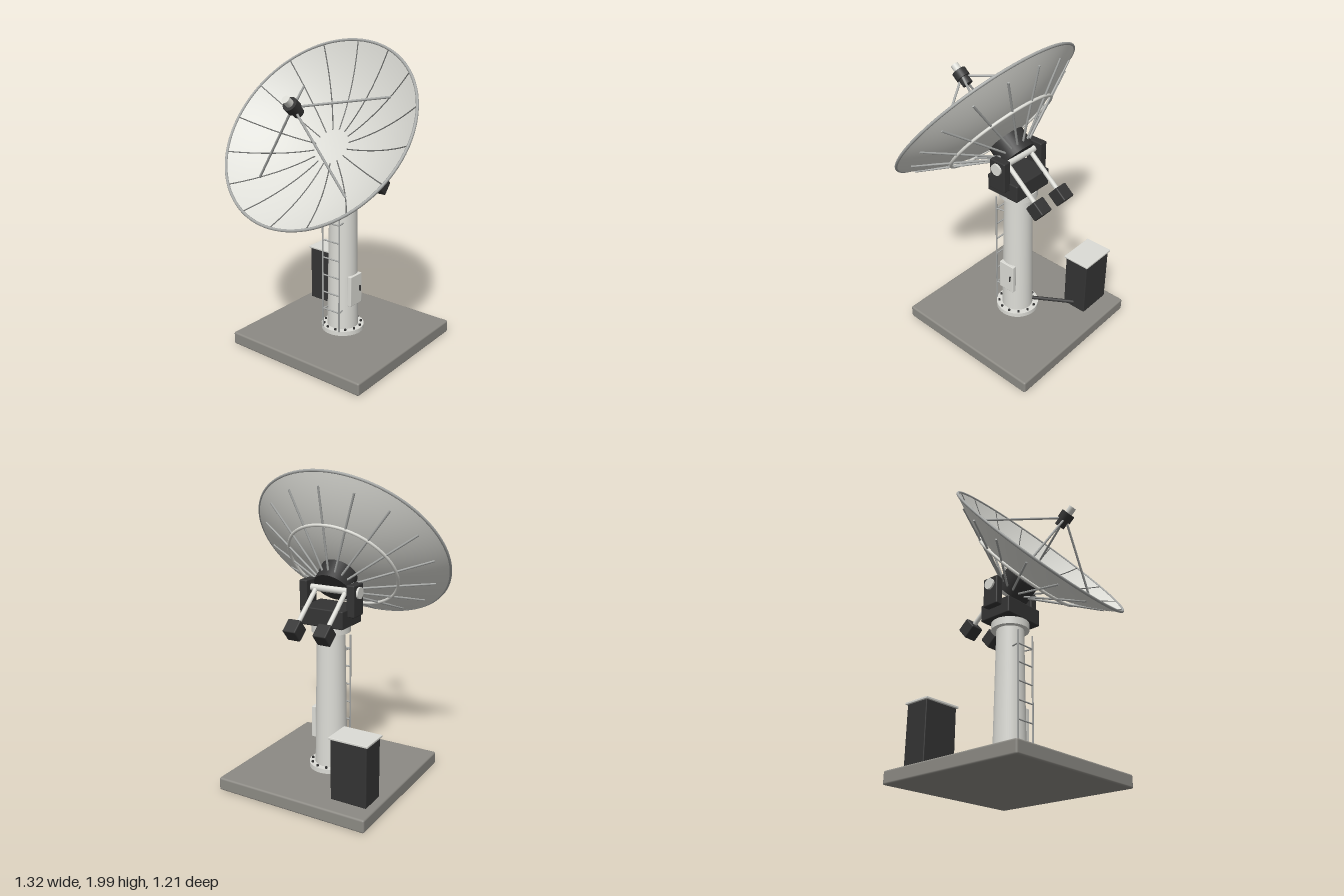
import * as THREE from 'three';
import { RoundedBoxGeometry } from 'three/addons/geometries/RoundedBoxGeometry.js';

const mat = (name, color, side = THREE.FrontSide) => {
  const m = new THREE.MeshStandardMaterial({ color, side });
  m.name = name;
  return m;
};

export function createModel() {
  const white = mat('painted white', 0xdcdcd6);
  const shell = mat('dish white', 0xdcdcd6, THREE.DoubleSide);
  const concrete = mat('concrete', 0x8c8a84);
  const dark = mat('dark metal', 0x343434);
  const steel = mat('steel', 0xa6a8a6);
  const seamGrey = mat('seam grey', 0x70716f);

  const model = new THREE.Group();
  model.name = 'dishAntenna';
  const V = (x, y, z) => new THREE.Vector3(x, y, z);

  const add = (parent, name, geo, material, x = 0, y = 0, z = 0) => {
    const m = new THREE.Mesh(geo, material);
    m.name = name;
    m.position.set(x, y, z);
    parent.add(m);
    return m;
  };
  const box = (parent, name, material, w, h, d, x, y, z, r = 0.006) =>
    add(parent, name, new RoundedBoxGeometry(w, h, d, 2, r), material, x, y, z);
  const cyl = (parent, name, material, rTop, rBottom, y0, y1, x = 0, z = 0, sides = 40) =>
    add(parent, name, new THREE.CylinderGeometry(rTop, rBottom, y1 - y0, sides), material, x, (y0 + y1) / 2, z);
  // Round bar between two points
  const rod = (parent, name, material, a, b, r, sides = 10) => {
    const m = add(parent, name, new THREE.CylinderGeometry(r, r, a.distanceTo(b), sides), material);
    m.position.copy(a).add(b).multiplyScalar(0.5);
    m.quaternion.setFromUnitVectors(V(0, 1, 0), b.clone().sub(a).normalize());
    return m;
  };

  const Z = -0.09; // tower axis

  // Foundation and tower
  box(model, 'foundation', concrete, 1.04, 0.085, 1.04, 0, 0.0425, Z, 0.012);
  cyl(model, 'baseFlange', white, 0.143, 0.143, 0.085, 0.115, 0, Z);
  cyl(model, 'tower', white, 0.09, 0.104, 0.115, 1.0, 0, Z, 48);
  cyl(model, 'topCollar', white, 0.123, 0.123, 1.0, 1.05, 0, Z);
  for (let i = 0; i < 12; i++) {
    const a = (i + 0.5) * Math.PI / 6;
    cyl(model, 'flangeBolt', dark, 0.008, 0.008, 0.113, 0.126, 0.125 * Math.cos(a), Z + 0.125 * Math.sin(a), 6);
  }

  // Ladder on the front of the tower
  for (const s of [-1, 1]) {
    rod(model, 'ladderRail', steel, V(s * 0.068, 0.115, 0.037), V(s * 0.068, 0.95, 0.037), 0.006);
    for (const y of [0.25, 0.86])
      rod(model, 'ladderBracket', steel, V(s * 0.068, y, 0.037), V(s * 0.055, y, -0.02), 0.005);
  }
  for (let i = 0; i < 6; i++)
    rod(model, 'ladderRung', steel, V(-0.068, 0.25 + i * 0.122, 0.037), V(0.068, 0.25 + i * 0.122, 0.037), 0.005);

  // Access door
  box(model, 'accessDoor', white, 0.03, 0.21, 0.118, 0.098, 0.387, Z, 0.004);
  box(model, 'doorHandle', dark, 0.012, 0.04, 0.01, 0.117, 0.39, -0.124, 0.003);

  // Equipment cabinet and its conduit
  box(model, 'cabinet', dark, 0.24, 0.39, 0.17, -0.35, 0.28, -0.405);
  box(model, 'cabinetLid', white, 0.26, 0.014, 0.19, -0.35, 0.48, -0.405, 0.003);
  rod(model, 'conduit', dark, V(-0.22, 0.14, -0.41), V(-0.05, 0.14, -0.15), 0.012);

  // Turntable and yoke
  box(model, 'turntable', dark, 0.3, 0.115, 0.24, 0, 1.107, Z, 0.008);
  for (const s of [-1, 1]) {
    box(model, 'yokeArm', dark, 0.055, 0.2, 0.118, s * 0.167, 1.215, Z, 0.008);
    rod(model, 'pivotCap', white, V(s * 0.19, 1.263, Z), V(s * 0.208, 1.263, Z), 0.037, 32);
  }
  rod(model, 'elevationAxle', white, V(-0.16, 1.263, Z), V(0.16, 1.263, Z), 0.022, 24);

  // Tilting assembly: local +y is the boresight
  const tilt = new THREE.Group();
  tilt.name = 'tiltingAssembly';
  tilt.position.set(0, 1.263, Z);
  tilt.rotation.x = THREE.MathUtils.degToRad(50);
  model.add(tilt);

  const R = 0.65, T0 = 0.148, DEPTH = 0.205;
  const curve = r => T0 + DEPTH * (r / R) ** 2;
  const polar = (r, y, a) => V(r * Math.sin(a), y, r * Math.cos(a));

  // Thin parabolic shell: front skin, back skin and rolled rim
  const skin = off => Array.from({ length: 25 }, (_, i) => {
    const r = R * i / 24;
    return new THREE.Vector2(r, curve(r) - off);
  });
  add(tilt, 'dishFront', new THREE.LatheGeometry(skin(0), 96), shell);
  add(tilt, 'dishBack', new THREE.LatheGeometry(skin(0.008), 96), shell);
  const ring = (name, material, r, tube, y) => {
    add(tilt, name, new THREE.TorusGeometry(r, tube, 10, 96), material, 0, y, 0).rotation.x = Math.PI / 2;
  };
  ring('dishRim', steel, R, 0.009, T0 + DEPTH - 0.003);
  ring('backingRing', white, 0.37, 0.01, 0.187);

  // Panel seams in front and truss rods behind
  for (let i = 0; i < 16; i++) {
    const a = i * Math.PI / 8;
    const pts = Array.from({ length: 9 }, (_, k) => {
      const r = 0.12 + 0.525 * k / 8;
      return polar(r, curve(r) + 0.001, a);
    });
    add(tilt, 'panelSeam', new THREE.TubeGeometry(new THREE.CatmullRomCurve3(pts), 20, 0.0038, 6), seamGrey);
    rod(tilt, 'trussRod', steel, polar(0.09, 0.04, a), polar(0.58, 0.3, a), 0.007, 8);
  }

  // Hub
  cyl(tilt, 'hub', dark, 0.12, 0.12, 0.012, 0.138);

  // Feed and its four struts
  cyl(tilt, 'feedBody', dark, 0.034, 0.034, 0.547, 0.6, 0, 0, 28);
  cyl(tilt, 'feedCollar', dark, 0.046, 0.046, 0.595, 0.648, 0, 0, 28);
  cyl(tilt, 'feedHorn', white, 0.025, 0.025, 0.645, 0.695, 0, 0, 28);
  for (let i = 0; i < 4; i++) {
    const a = Math.PI / 4 + i * Math.PI / 2;
    rod(tilt, 'feedStrut', steel, polar(0.474, curve(0.474), a), polar(0.03, 0.59, a), 0.0075);
  }

  // Counterweights
  for (const s of [-1, 1]) {
    cyl(tilt, 'counterweightArm', white, 0.015, 0.015, -0.3, 0.02, s * 0.105, 0, 16);
    box(tilt, 'counterweight', dark, 0.09, 0.096, 0.096, s * 0.105, -0.332, 0, 0.008);
  }

  return model;
}
